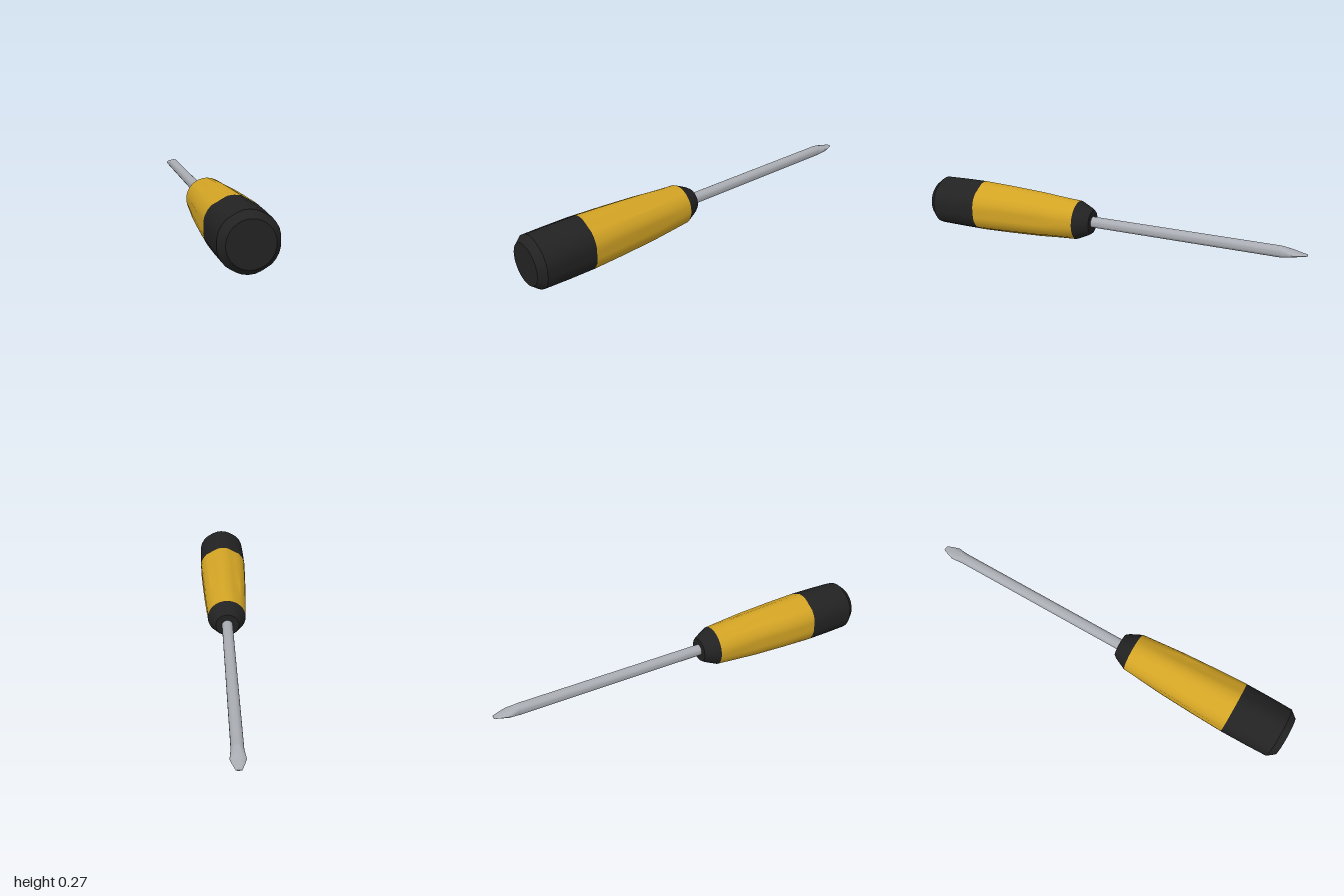
import * as THREE from 'three';
import { toCreasedNormals } from 'three/addons/utils/BufferGeometryUtils.js';

const AXIS_Y = 0.135;

// Skin closed rings along z. Stations run from +z to -z: { z, rx, ry, flute }.
function loft(stations, segments) {
  const pos = [], index = [];
  for (const { z, rx, ry, flute = 0 } of stations) {
    for (let j = 0; j < segments; j++) {
      const a = (j / segments) * Math.PI * 2;
      // six shallow grooves, ridges at the top and bottom
      const dip = flute * Math.max(0, Math.cos(6 * a));
      pos.push((rx - dip) * Math.cos(a), (ry - dip) * Math.sin(a), z);
    }
  }
  const n = stations.length, last = (n - 1) * segments;
  const first = pos.length / 3;
  pos.push(0, 0, stations[0].z, 0, 0, stations[n - 1].z);
  for (let j = 0; j < segments; j++) {
    const k = (j + 1) % segments;
    for (let i = 0; i < n - 1; i++) {
      const p = i * segments, q = p + segments;
      index.push(p + j, q + j, q + k, p + j, q + k, p + k);
    }
    index.push(first, j, k, first + 1, last + k, last + j);
  }
  const g = new THREE.BufferGeometry();
  g.setAttribute('position', new THREE.Float32BufferAttribute(pos, 3));
  g.setIndex(index);
  return toCreasedNormals(g, 0.5);
}

const round = (z, r, flute = 0) => ({ z, rx: r, ry: r, flute });

export function createModel() {
  const yellow = new THREE.MeshStandardMaterial({ color: 0xd2a324 });
  yellow.name = 'yellow grip';
  const black = new THREE.MeshStandardMaterial({ color: 0x222222 });
  black.name = 'black rubber';
  const steel = new THREE.MeshStandardMaterial({ color: 0xa9acb2 });
  steel.name = 'steel';

  const model = new THREE.Group();
  model.name = 'screwdriver';
  const add = (name, geometry, material) => {
    const mesh = new THREE.Mesh(geometry, material);
    mesh.name = name;
    mesh.position.y = AXIS_Y;
    model.add(mesh);
  };

  // Handle: bevelled end cap, tapering fluted grip, front collar
  add('endCap', loft([
    round(1, 0.1), round(0.965, 0.129, 0.003), round(0.85, 0.132, 0.005), round(0.72, 0.133, 0.006),
  ], 32), black);
  add('grip', loft([
    round(0.72, 0.133, 0.006), round(0.55, 0.127, 0.008), round(0.37, 0.118, 0.008),
    round(0.25, 0.108, 0.004), round(0.155, 0.1),
  ], 32), yellow);
  add('collar', loft([
    round(0.155, 0.1), round(0.095, 0.072), round(0.078, 0.06),
  ], 32), black);

  // Steel shaft, flaring sideways into a flat blade
  add('shaft', loft([round(0.09, 0.028), round(-0.88, 0.028)], 20), steel);
  add('blade', loft([
    round(-0.88, 0.028),
    { z: -0.905, rx: 0.031, ry: 0.023 },
    { z: -0.935, rx: 0.035, ry: 0.015 },
    { z: -0.965, rx: 0.026, ry: 0.008 },
    { z: -1, rx: 0.013, ry: 0.002 },
  ], 20), steel);

  return model;
}
